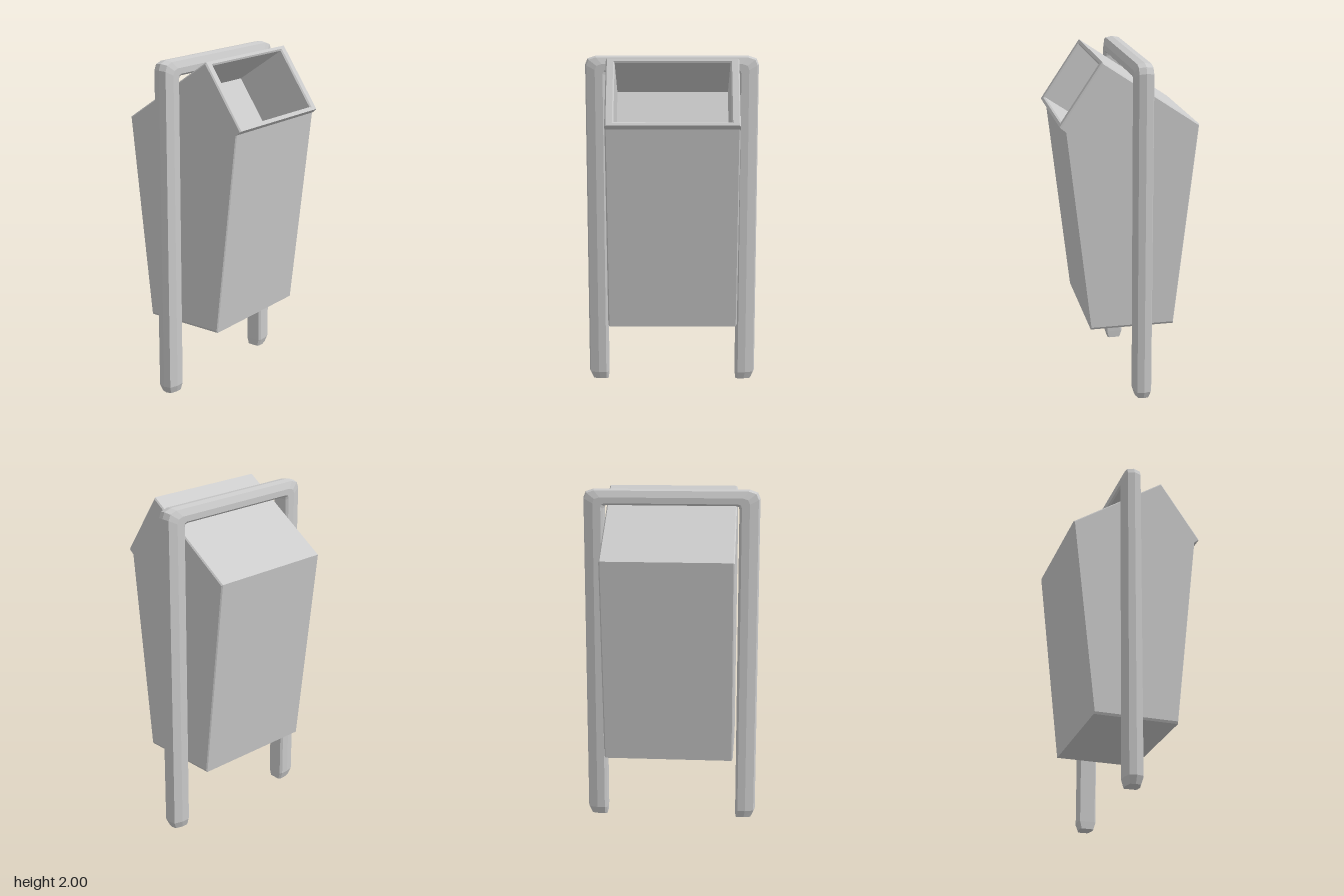
import * as THREE from 'three';

const material = new THREE.MeshStandardMaterial({ color: 0xcccccc, flatShading: true });

// Collects faces (corner lists, anticlockwise from outside) into a flat-shaded mesh
function faceted(name, faces) {
  const pos = [];
  for (const f of faces)
    for (let i = 1; i < f.length - 1; i++) pos.push(...f[0], ...f[i], ...f[i + 1]);
  const geometry = new THREE.BufferGeometry();
  geometry.setAttribute('position', new THREE.Float32BufferAttribute(pos, 3));
  geometry.computeVertexNormals();
  const mesh = new THREE.Mesh(geometry, material);
  mesh.name = name;
  return mesh;
}

// Faces joining two closed rings of equal length
const stitch = (a, b) => a.map((p, i) => {
  const j = (i + 1) % a.length;
  return [p, a[j], b[j], b[i]];
});

// Side outline of the bin as [z, y]; the edge LIP -> PEAK carries the opening
const outline = [[0.235, 0.42], [0.37, 1.62], [0.4, 1.645], [0.16, 2], [-0.395, 1.627], [-0.26, 0.42]];
const LIP = 2, PEAK = 3;
const HALF = 0.383, BEVEL = 0.007;

function binShell() {
  const faces = [];
  const section = (x, k) => outline.map(([z, y]) => [x, 1.3 + (y - 1.3) * k, z * k]);
  const rings = [
    section(-HALF, 0.985), section(BEVEL - HALF, 1),
    section(HALF - BEVEL, 1), section(HALF, 0.985),
  ];
  for (let s = 0; s < 3; s++)
    for (let i = 0; i < outline.length; i++) {
      if (s === 1 && i === LIP) continue; // left open for the chute
      const j = (i + 1) % outline.length;
      faces.push([rings[s][i], rings[s + 1][i], rings[s + 1][j], rings[s][j]]);
    }
  // Side panels, fanned from the peak
  const fan = r => [...r.slice(PEAK), ...r.slice(0, PEAK)];
  const right = fan(rings[0]), left = fan(rings[3]);
  faces.push(right, [left[0], ...left.slice(1).reverse()]);
  return faceted('binBody', faces);
}

// Rim and recess sunk square to the sloping opening
function chute() {
  const [z0, y0] = outline[LIP], [z1, y1] = outline[PEAK];
  const len = Math.hypot(z1 - z0, y1 - y0);
  const tz = (z1 - z0) / len, ty = (y1 - y0) / len;
  const point = (x, s, d) => [x, y0 + ty * s + tz * d, z0 + tz * s - ty * d];
  const ring = (hx, margin, d) => [
    point(-hx, margin, d), point(hx, margin, d),
    point(hx, len - margin, d), point(-hx, len - margin, d),
  ];
  const rings = [
    ring(HALF - BEVEL, 0, 0), ring(0.34, 0.017, 0),
    ring(0.332, 0.025, 0.008), ring(0.332, 0.025, 0.36),
  ];
  const faces = [];
  for (let i = 0; i < 3; i++) faces.push(...stitch(rings[i], rings[i + 1]));
  faces.push(rings[3]);
  return faceted('openingChute', faces);
}

// Hoop-shaped stand: one faceted section swept up, across and down
function stand() {
  // [0 inner .. 1 outer, z]
  const half = [[0.92, 0.04], [0.5, 0.055], [0.12, 0.055], [0, 0.045]];
  const profile = [[1, 0], ...half, ...half.map(([u, z]) => [u, -z]).reverse()];
  // [inner x, inner y, outer x, outer y, depth scale]
  const side = [
    [-0.397, 0, -0.495, 0, 0.75],
    [-0.395, 0.045, -0.515, 0.045, 1],
    [-0.395, 1.89, -0.515, 1.95, 1],
    [-0.391, 1.905, -0.5, 1.985, 1],
    [-0.375, 1.91, -0.455, 2, 1],
  ];
  const path = [...side, ...side.map(([a, b, c, d, k]) => [-a, b, -c, d, k]).reverse()];
  const rings = path.map(([ix, iy, ox, oy, k]) =>
    profile.map(([u, z]) => [ix + (ox - ix) * u, iy + (oy - iy) * u, z * k - 0.06]));
  const faces = [[...rings[0]].reverse(), rings[rings.length - 1]];
  for (let i = 0; i < rings.length - 1; i++) faces.push(...stitch(rings[i], rings[i + 1]));
  return faceted('standFrame', faces);
}

export function createModel() {
  const model = new THREE.Group();
  model.name = 'litterBin';
  const bin = new THREE.Group();
  bin.name = 'bin';
  bin.position.x = 0.004;
  bin.add(binShell(), chute());
  model.add(bin, stand());
  return model;
}
